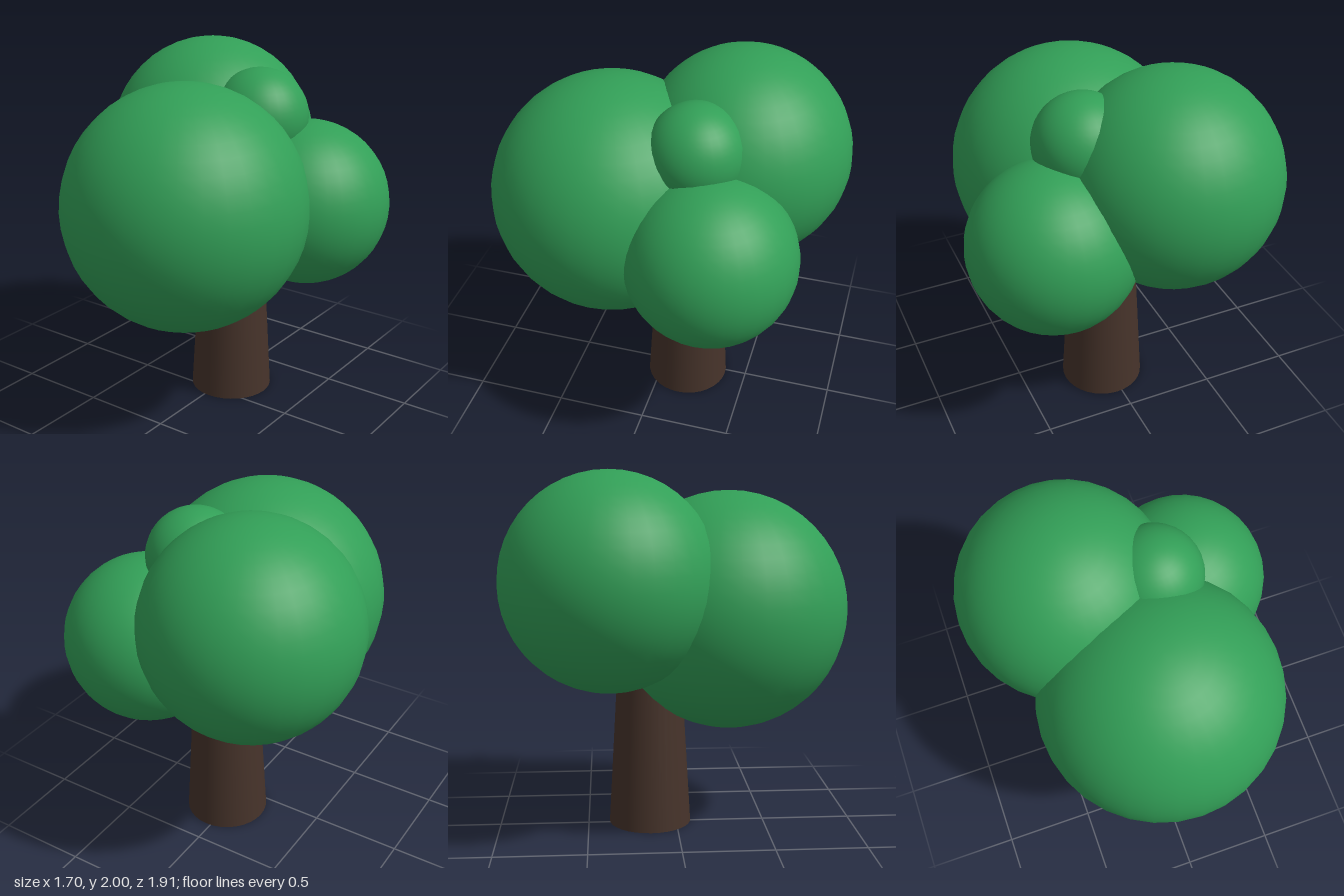
import * as THREE from 'three';

export function createModel() {
  const tree = new THREE.Group();
  tree.name = 'tree';

  const leafGreen = new THREE.MeshStandardMaterial({ color: 0x329f57 });
  leafGreen.name = 'leaf green';
  const barkBrown = new THREE.MeshStandardMaterial({ color: 0x46332a });
  barkBrown.name = 'bark brown';

  // Tapered trunk, reaching up into the crown
  const trunkHeight = 1.1;
  const trunk = new THREE.Mesh(new THREE.CylinderGeometry(0.168, 0.232, trunkHeight, 32), barkBrown);
  trunk.name = 'trunk';
  trunk.position.set(0.028, trunkHeight / 2, -0.148);
  tree.add(trunk);

  // Overlapping balls of foliage: name, radius, centre
  const crown = new THREE.Group();
  crown.name = 'crown';
  const balls = [
    ['frontFoliage', 0.662, 0.03, 1.222, 0.295],
    ['backRightFoliage', 0.585, -0.27, 1.415, -0.37],
    ['backLeftFoliage', 0.46, 0.39, 1.152, -0.35],
    ['topFoliage', 0.265, 0.165, 1.635, -0.21],
  ];
  for (const [name, radius, x, y, z] of balls) {
    const ball = new THREE.Mesh(new THREE.SphereGeometry(radius, 32, 24), leafGreen);
    ball.name = name;
    ball.position.set(x, y, z);
    crown.add(ball);
  }
  tree.add(crown);

  return tree;
}
